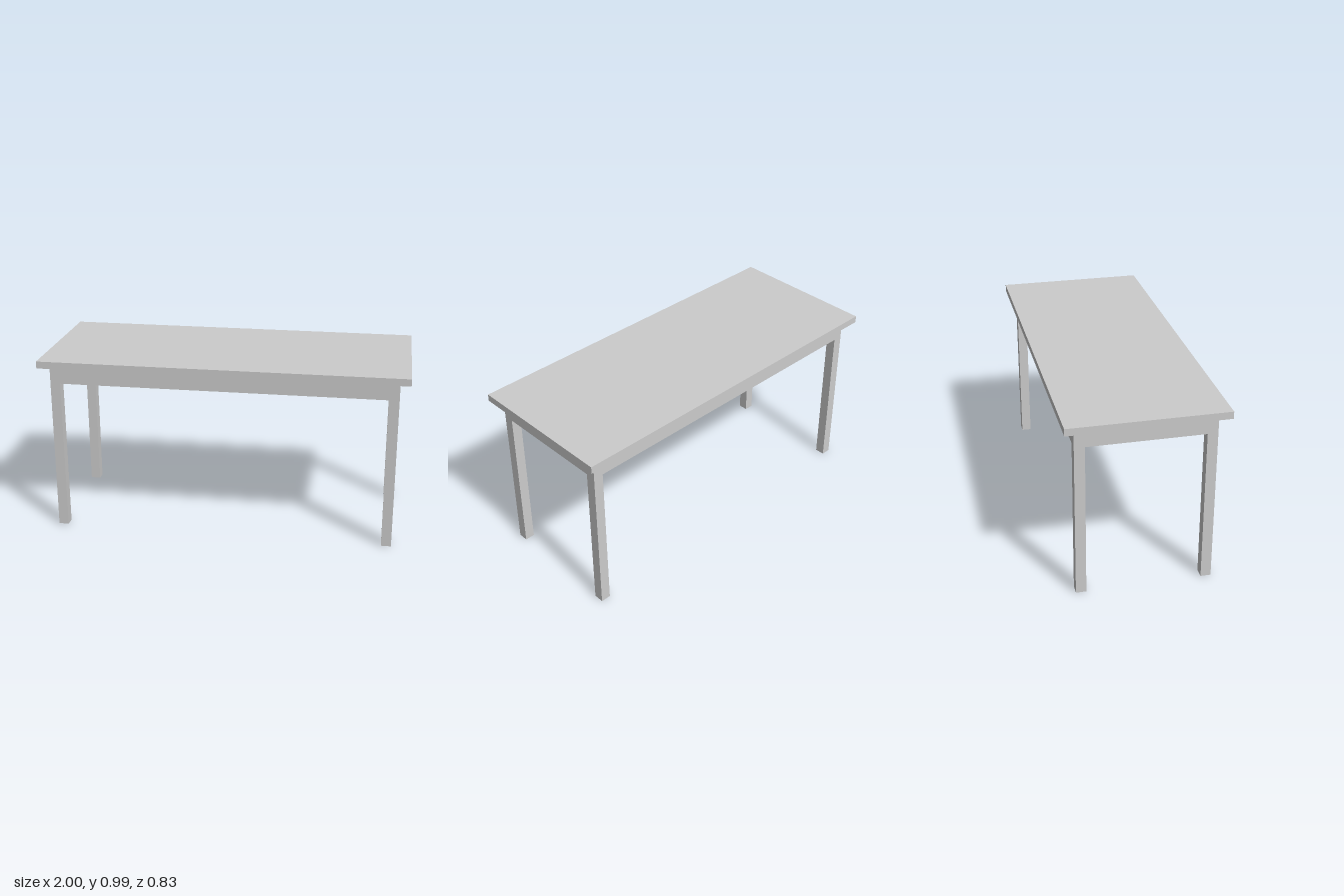
import * as THREE from 'three';

const material = new THREE.MeshStandardMaterial({ color: 0xcccccc });

// Overall measures
const TOP_Y = 0.986;          // upper face of the table top
const UNDER_Y = 0.947;        // underside of the table top
const DEPTH = 0.833;          // table top, front to back
const LEG = 0.055;            // square leg section
const LEG_X = 0.945, LEG_Z = 0.362; // outer faces of the legs
const RAIL_Y = 0.848;         // lower edge of the rails
const RAIL = 0.025;           // rail thickness

function box(name, w, h, d, x, y, z) {
  const mesh = new THREE.Mesh(new THREE.BoxGeometry(w, h, d), material);
  mesh.name = name;
  mesh.position.set(x, y, z);
  return mesh;
}

export function createModel() {
  const table = new THREE.Group();
  table.name = 'table';

  table.add(box('tableTop', 2, TOP_Y - UNDER_Y, DEPTH, 0, (TOP_Y + UNDER_Y) / 2, 0));

  const railH = UNDER_Y - RAIL_Y;
  const railMid = (UNDER_Y + RAIL_Y) / 2;
  for (const s of [1, -1]) {
    // Rails sit between the legs, flush with their outer faces
    table.add(box(s > 0 ? 'frontRail' : 'backRail',
      2 * (LEG_X - LEG), railH, RAIL, 0, railMid, s * (LEG_Z - RAIL / 2)));
    table.add(box(s > 0 ? 'leftRail' : 'rightRail',
      RAIL, railH, 2 * (LEG_Z - LEG), s * (LEG_X - RAIL / 2), railMid, 0));

    // Square legs at the corners
    for (const t of [1, -1]) {
      table.add(box((t > 0 ? 'front' : 'back') + (s > 0 ? 'Left' : 'Right') + 'Leg',
        LEG, UNDER_Y, LEG, s * (LEG_X - LEG / 2), UNDER_Y / 2, t * (LEG_Z - LEG / 2)));
    }
  }
  return table;
}
